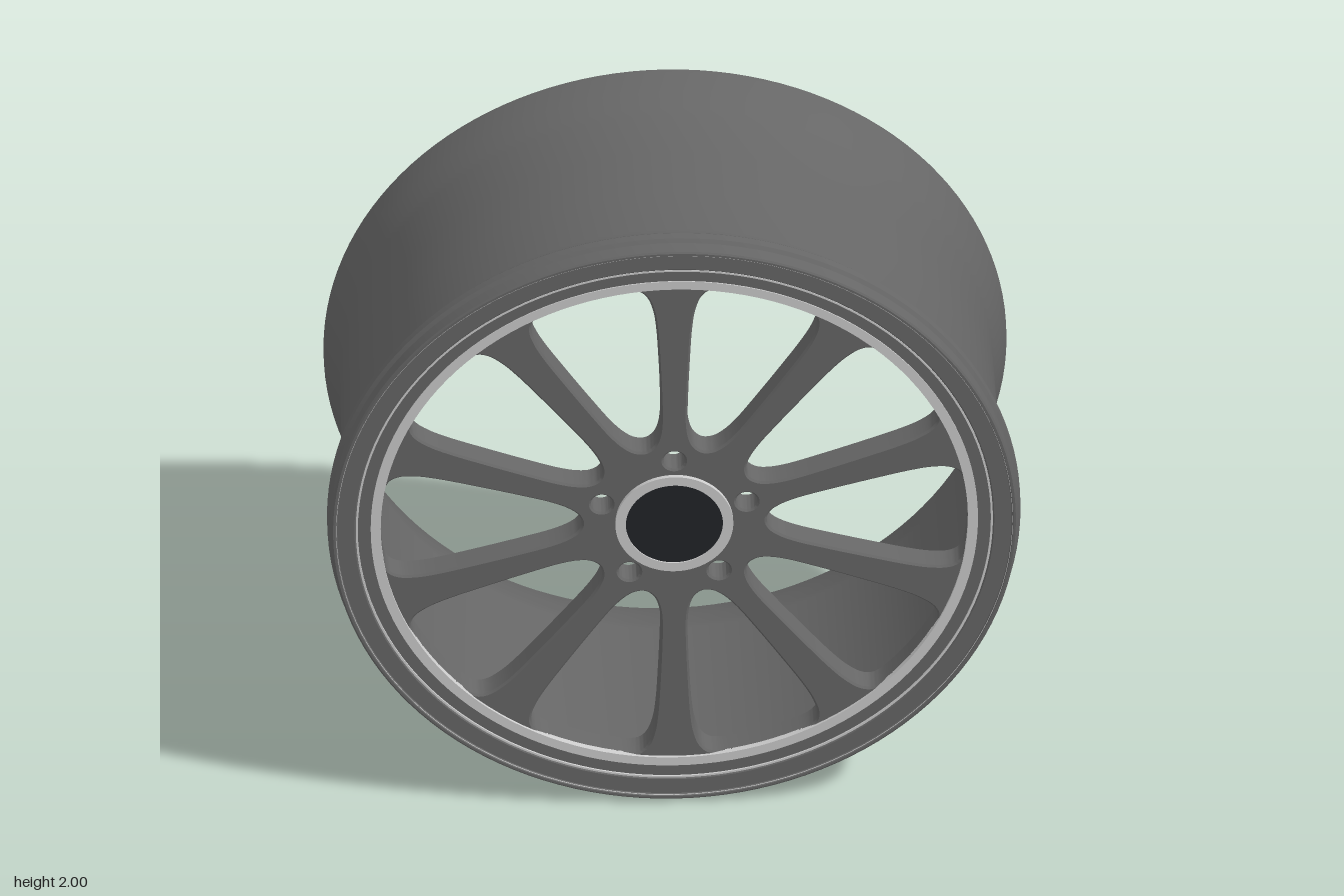
import * as THREE from 'three';
import { toCreasedNormals } from 'three/addons/utils/BufferGeometryUtils.js';

const paint = (color) => new THREE.MeshStandardMaterial({ color });
const V = (r, z) => new THREE.Vector2(r, z);

// Ring or shell turned about the wheel axis (z) from [radius, z] pairs
function turned(name, profile, material) {
  const lathe = new THREE.LatheGeometry(profile.map(([r, z]) => V(r, z)), 128);
  lathe.rotateX(Math.PI / 2);
  const mesh = new THREE.Mesh(toCreasedNormals(lathe, 0.45), material);
  mesh.name = name;
  return mesh;
}

// Flat-sided raised ring
const band = (name, r0, r1, z0, z1, material) =>
  turned(name, [[r0, z0], [r1, z0], [r1, z1], [r0, z1], [r0, z0]], material);

// Opening between two spokes, from the spoke's half width at each radius
function windowPath(centreAngle) {
  const edge = [[0.279, 0.058], [0.31, 0.045], [0.36, 0.039], [0.45, 0.04], [0.6, 0.046],
    [0.7, 0.052], [0.76, 0.06], [0.81, 0.076], [0.835, 0.097], [0.845, 0.125]];
  const half = Math.PI / 10;
  const side = edge.map(([r, w]) => [r, half - Math.asin(w / r)]);
  const outer = [[0.847, 0.09], [0.847, 0], [0.847, -0.09]];
  const polar = [[0.266, 0], ...side, ...outer,
    ...side.map(([r, a]) => [r, -a]).reverse()];
  const points = polar.map(([r, a]) => new THREE.Vector3(
    r * Math.cos(centreAngle + a), r * Math.sin(centreAngle + a), 0));
  const curve = new THREE.CatmullRomCurve3(points, true, 'centripetal');
  const smooth = curve.getPoints(110).slice(0, -1);
  return new THREE.Path(smooth.map((p) => V(p.x, p.y)));
}

// Spoked face: a disc cut by ten windows and five bolt holes
function spokedFace(material) {
  const shape = new THREE.Shape().absarc(0, 0, 0.905, 0, Math.PI * 2);
  for (let i = 0; i < 10; i++) {
    shape.holes.push(windowPath(Math.PI / 2 + (i + 0.5) * Math.PI / 5));
  }
  for (let i = 0; i < 5; i++) {
    const a = Math.PI / 2 + i * Math.PI * 2 / 5;
    shape.holes.push(new THREE.Path().absarc(
      0.22 * Math.cos(a), 0.22 * Math.sin(a), 0.031, 0, Math.PI * 2));
  }
  const bevel = 0.006;
  const geometry = new THREE.ExtrudeGeometry(shape, {
    depth: 0.068, curveSegments: 48, bevelEnabled: true, bevelSegments: 1,
    bevelSize: bevel, bevelThickness: bevel, bevelOffset: -bevel,
  });
  geometry.translate(0, 0, 0.346);
  const mesh = new THREE.Mesh(toCreasedNormals(geometry, 0.5), material);
  mesh.name = 'spokedFace';
  return mesh;
}

export function createModel() {
  const dark = paint(0x666666);
  const bright = paint(0xcccccc);
  const black = paint(0x222428);

  const wheel = new THREE.Group();
  wheel.name = 'wheelRim';

  // Barrel: outside from back to front, over the stepped lip, back along the inside
  wheel.add(turned('barrel', [
    [0.966, -0.44], [0.985, -0.44], [0.985, -0.425], [0.965, -0.36], [0.948, -0.305],
    [0.942, -0.28], [0.945, -0.1], [0.949, 0.1], [0.953, 0.28], [0.957, 0.31],
    [0.966, 0.33], [0.982, 0.342], [0.995, 0.352], [1.0, 0.36], [1.0, 0.385],
    [0.99, 0.394], [0.99, 0.436], [0.985, 0.44], [0.978, 0.44], [0.973, 0.432],
    [0.923, 0.432], [0.915, 0.425], [0.875, 0.425], [0.875, 0.345],
    [0.92, 0.345], [0.926, 0.3], [0.918, -0.28], [0.923, -0.31], [0.942, -0.37],
    [0.96, -0.43], [0.966, -0.44],
  ], dark));

  wheel.add(spokedFace(dark));

  // Bright trim around the face and along the lip
  wheel.add(band('innerTrimRing', 0.847, 0.876, 0.41, 0.428, bright));
  wheel.add(band('lipTrimLine', 0.913, 0.919, 0.415, 0.43, bright));
  wheel.add(band('outerTrimLine', 0.975, 0.979, 0.425, 0.437, bright));

  // Hub
  wheel.add(band('hubRing', 0.14, 0.17, 0.41, 0.432, bright));
  const cap = new THREE.Mesh(new THREE.CylinderGeometry(0.142, 0.142, 0.02, 64), black);
  cap.name = 'hubCap';
  cap.rotation.x = Math.PI / 2;
  cap.position.z = 0.418;
  wheel.add(cap);

  wheel.position.y = 1;
  const model = new THREE.Group();
  model.name = 'model';
  model.add(wheel);
  return model;
}
